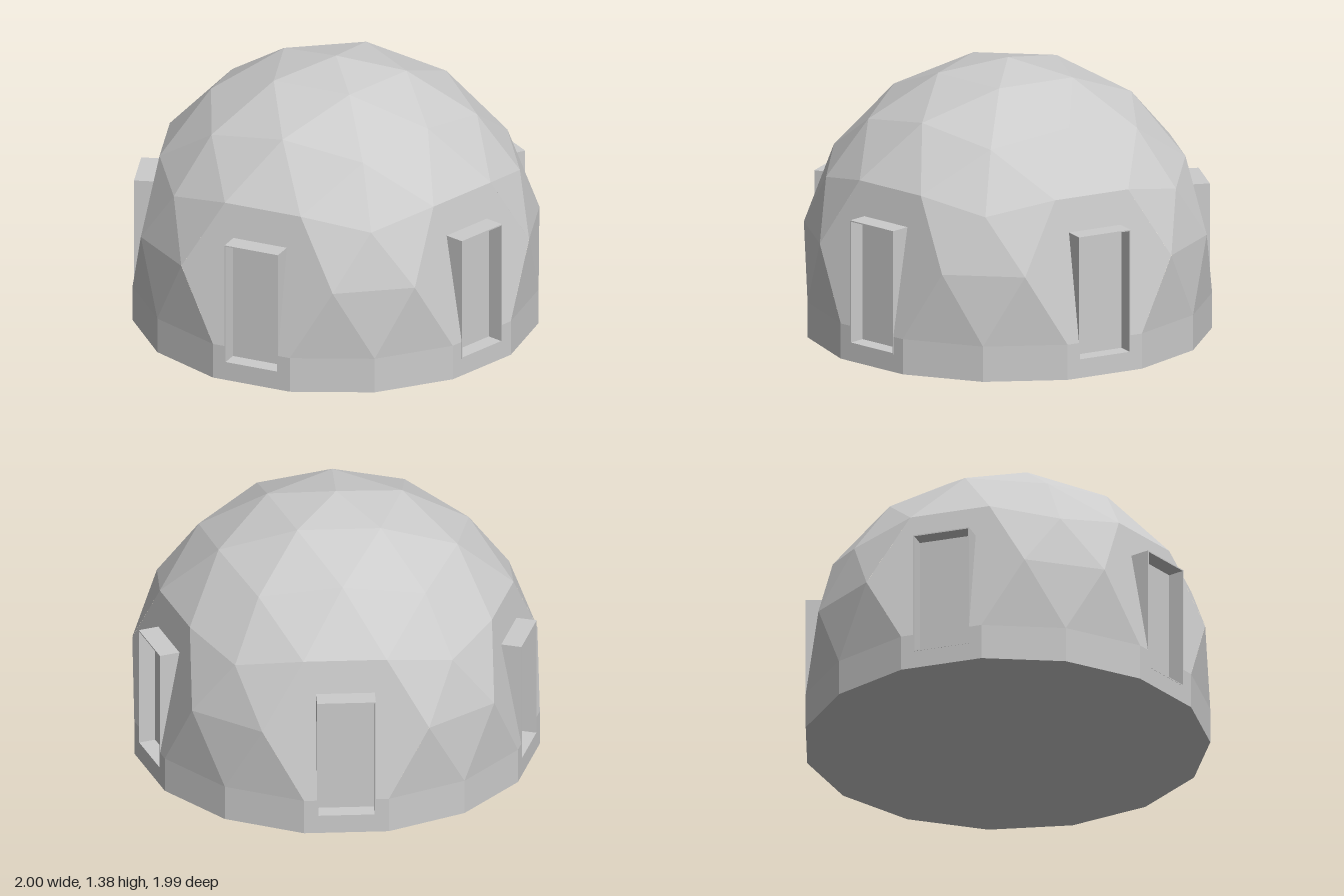
import * as THREE from 'three';

const R = 1.02, CY = 0.36;            // sphere radius and centre height
const BASE_R = 1.005, BASE_Y = 0.18;  // fifteen-sided base wall
const rad = THREE.MathUtils.degToRad;
const material = new THREE.MeshStandardMaterial({ color: 0xcccccc, flatShading: true });

// Icosahedron corners: apex, upper ring and lower ring
const apex = new THREE.Vector3(0, 1, 0);
const ring = (deg, y) => new THREE.Vector3(Math.cos(rad(deg)) * 0.8944, y, Math.sin(rad(deg)) * 0.8944);
const upper = k => ring(54 + 72 * k, 0.4472);
const lower = k => ring(90 + 72 * k, -0.4472);

// Point on the base ring, side k
const basePoint = (k, y) => new THREE.Vector3(
  BASE_R * Math.cos(rad(6 + 24 * k)), y, BASE_R * Math.sin(rad(6 + 24 * k)));

// Point of a face split in three, pushed to the sphere; the lowest row snaps to the base ring
function point(a, b, c, i, j, k) {
  const p = new THREE.Vector3().addScaledVector(a, i).addScaledVector(b, j).addScaledVector(c, k);
  p.setLength(R);
  p.y += CY;
  if (p.y < 0.3) {
    const deg = THREE.MathUtils.radToDeg(Math.atan2(p.z, p.x));
    return basePoint(Math.round((deg - 6) / 24), BASE_Y);
  }
  return p;
}

// Adds a triangle turned to face outward
function addTriangle(list, a, b, c) {
  const n = b.clone().sub(a).cross(c.clone().sub(a));
  const mid = a.clone().add(b).add(c).divideScalar(3);
  mid.y -= CY;
  for (const p of n.dot(mid) < 0 ? [a, c, b] : [a, b, c]) list.push(p.x, p.y, p.z);
}

// Adds the top rows of a face, row by row down from corner a
function addRows(list, a, b, c, rows) {
  const at = (r, s) => point(a, b, c, 3 - r, r - s, s);
  for (let r = 0; r < rows; r++) {
    for (let s = 0; s <= r; s++) {
      addTriangle(list, at(r, s), at(r + 1, s), at(r + 1, s + 1));
      if (s < r) addTriangle(list, at(r, s), at(r + 1, s + 1), at(r, s + 1));
    }
  }
}

function meshFrom(list, name) {
  const g = new THREE.BufferGeometry();
  g.setAttribute('position', new THREE.Float32BufferAttribute(list, 3));
  g.computeVertexNormals();
  const m = new THREE.Mesh(g, material);
  m.name = name;
  return m;
}

// One flat doorway bay facing +z: hexagon panel, wall below, frame and door
function makeBay() {
  const bay = new THREE.Group();
  bay.name = 'doorBay';
  const a = upper(0), b = upper(1), c = lower(0);
  const top = point(a, b, c, 2, 1, 0), side = point(a, b, c, 2, 0, 1), foot = point(a, b, c, 1, 0, 2);
  const w = 0.145, y0 = 0.09, y1 = 0.72;

  // Walls are drawn flat as a shape with a door notch, then leaned back by height
  const panel = (pts, name) => {
    const g = new THREE.ShapeGeometry(new THREE.Shape(pts.map(p => new THREE.Vector2(p[0], p[1]))));
    const pos = g.attributes.position;
    for (let i = 0; i < pos.count; i++) {
      const t = Math.max(0, (pos.getY(i) - foot.y) / (top.y - foot.y));
      pos.setZ(i, THREE.MathUtils.lerp(foot.z, top.z, t));
    }
    g.computeVertexNormals();
    const m = new THREE.Mesh(g, material);
    m.name = name;
    bay.add(m);
  };
  panel([[-foot.x, foot.y], [-w, foot.y], [-w, y1], [w, y1], [w, foot.y], [foot.x, foot.y],
    [side.x, side.y], [top.x, top.y], [-top.x, top.y], [-side.x, side.y]], 'doorPanelWall');
  panel([[-foot.x, 0], [foot.x, 0], [foot.x, foot.y], [w, foot.y], [w, y0],
    [-w, y0], [-w, foot.y], [-foot.x, foot.y]], 'doorBaseWall');

  const box = (sx, sy, sz, x, y, z, name) => {
    const m = new THREE.Mesh(new THREE.BoxGeometry(sx, sy, sz), material);
    m.position.set(x, y, z);
    m.name = name;
    bay.add(m);
  };
  const t = 0.006, d = 0.11, z = foot.z + 0.001 - d / 2, mid = (y0 + y1) / 2;
  for (const s of [-1, 1]) box(t, y1 - y0, d, s * (w - t / 2), mid, z, 'doorJamb');
  box(2 * (w - t), t, d, 0, y1 - t / 2, z, 'doorLintel');
  box(2 * (w - t), t, d, 0, y0 + t / 2, z, 'doorSill');
  box(2 * (w - t), y1 - y0 - 2 * t, 0.01, 0, mid, 0.895, 'door');
  return bay;
}

export function createModel() {
  const model = new THREE.Group();
  model.name = 'geodesicDome';

  // Faceted shell: cap faces, corners beside each bay, and faces between bays
  const shell = [], wall = [];
  for (let k = 0; k < 5; k++) {
    addRows(shell, apex, upper(k), upper(k + 1), 3);
    addRows(shell, upper(k), upper(k + 1), lower(k), 1);
    addRows(shell, upper(k + 1), upper(k), lower(k), 1);
    addRows(shell, upper(k), lower(k - 1), lower(k), 2);
  }
  // Base wall sides between the bays
  for (let k = 0; k < 15; k++) {
    if (k % 3 === 0) continue;
    const a = basePoint(k, 0), b = basePoint(k + 1, 0);
    const c = basePoint(k + 1, BASE_Y), d = basePoint(k, BASE_Y);
    addTriangle(wall, a, b, c);
    addTriangle(wall, a, c, d);
  }
  model.add(meshFrom(shell, 'domeShell'), meshFrom(wall, 'baseWall'));

  // Floor closing the underside
  const floor = new THREE.Mesh(new THREE.CircleGeometry(BASE_R, 15, rad(6)), material);
  floor.rotation.x = Math.PI / 2;
  floor.name = 'floor';
  model.add(floor);

  // Five door bays around the dome
  for (let k = 0; k < 5; k++) {
    const bay = makeBay();
    bay.rotation.y = rad(72 * k);
    model.add(bay);
  }

  // Centre the odd-sided plan on z
  for (const part of model.children) part.position.z += 0.011;
  return model;
}
